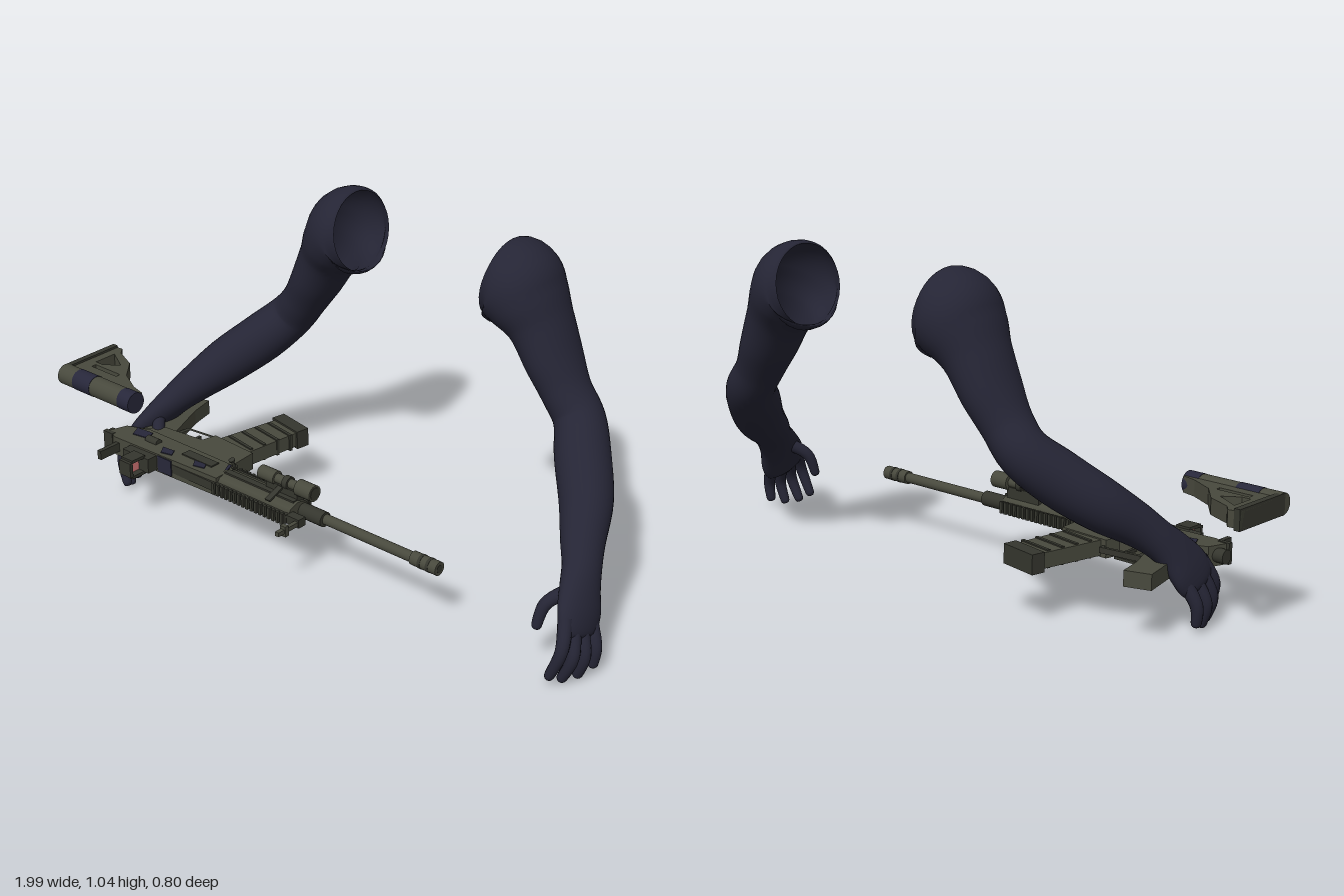
import * as THREE from 'three';

const mat = (name, color, side = THREE.FrontSide) => {
  const m = new THREE.MeshStandardMaterial({ color, side });
  m.name = name;
  return m;
};

export function createModel() {
  const root = new THREE.Group();
  root.name = 'armsAndRifle';
  const sleeve = mat('dark navy cloth', 0x252535, THREE.DoubleSide);
  const olive = mat('olive grey metal', 0x48493d);
  const dark = mat('dark olive', 0x35362e);
  const navy = mat('navy camouflage', 0x27273a);
  const pink = mat('pink lens', 0xd87878, THREE.DoubleSide);
  let parent = root;
  const add = (name, geo, m) => {
    const mesh = new THREE.Mesh(geo, m);
    mesh.name = name;
    parent.add(mesh);
    return mesh;
  };
  const group = (name, to = root) => {
    parent = new THREE.Group();
    parent.name = name;
    to.add(parent);
    return parent;
  };

  // Smooth skin over keys [x, y, z, radius sideways, radius across]
  const MIRROR = 0.13;
  function loft(keys, mirrored, steps, sides) {
    const path = new THREE.CatmullRomCurve3(keys.map(k => new THREE.Vector3(k[0], k[1], k[2])));
    const size = new THREE.CatmullRomCurve3(keys.map(k => new THREE.Vector3(k[3], k[4], 0)), false, 'catmullrom', 0.5);
    const pos = [], index = [];
    for (let i = 0; i <= steps; i++) {
      const t = i / steps, c = path.getPoint(t), r = size.getPoint(t), T = path.getTangent(t);
      const S = new THREE.Vector3(0, 0, 1).addScaledVector(T, -T.z).normalize();
      const P = new THREE.Vector3().crossVectors(T, S);
      for (let j = 0; j < sides; j++) {
        const a = j / sides * Math.PI * 2;
        const v = c.clone().addScaledVector(S, Math.cos(a) * r.x).addScaledVector(P, Math.sin(a) * r.y);
        pos.push(mirrored ? MIRROR - v.x : v.x, v.y, v.z);
        if (i === steps) continue;
        const n = (j + 1) % sides, q = [i * sides + j, i * sides + n, (i + 1) * sides + j, (i + 1) * sides + n];
        if (mirrored) index.push(q[0], q[2], q[1], q[1], q[2], q[3]);
        else index.push(q[0], q[1], q[2], q[1], q[3], q[2]);
      }
    }
    const g = new THREE.BufferGeometry();
    g.setAttribute('position', new THREE.Float32BufferAttribute(pos, 3));
    g.setIndex(index);
    g.computeVertexNormals();
    return g;
  }

  // Arms: open at the shoulder, closed at the knuckles
  const armKeys = [
    [0.345, 0.91, -0.257, 0.128, 0.125], [0.385, 0.903, -0.257, 0.145, 0.138],
    [0.43, 0.86, -0.257, 0.138, 0.115], [0.475, 0.8, -0.258, 0.114, 0.09],
    [0.53, 0.70, -0.255, 0.102, 0.077], [0.58, 0.62, -0.25, 0.084, 0.07],
    [0.635, 0.55, -0.243, 0.08, 0.074], [0.70, 0.475, -0.175, 0.085, 0.08],
    [0.78, 0.395, -0.085, 0.08, 0.076], [0.84, 0.325, 0.01, 0.067, 0.06],
    [0.875, 0.28, 0.06, 0.062, 0.05], [0.9, 0.24, 0.1, 0.07, 0.043],
    [0.928, 0.185, 0.14, 0.083, 0.036], [0.943, 0.142, 0.163, 0.073, 0.028],
    [0.947, 0.125, 0.17, 0.03, 0.012], [0.948, 0.123, 0.171, 0.001, 0.001]];
  const fingers = {
    indexFinger: [[0.925, 0.2, 0.2], [0.945, 0.12, 0.241], [0.917, 0.035, 0.254]],
    middleFinger: [[0.938, 0.17, 0.18], [0.962, 0.09, 0.21], [0.935, 0.017, 0.219]],
    ringFinger: [[0.945, 0.15, 0.15], [0.972, 0.08, 0.168], [0.955, 0.015, 0.173]],
    littleFinger: [[0.945, 0.15, 0.105], [0.975, 0.085, 0.12], [0.972, 0.03, 0.124]],
    thumb: [[0.89, 0.245, 0.125], [0.84, 0.2, 0.178], [0.828, 0.135, 0.2]]
  };
  for (const mirrored of [false, true]) {
    group(mirrored ? 'rightArm' : 'leftArm');
    add('sleeveAndPalm', loft(armKeys, mirrored, 75, 32), sleeve);
    for (const [name, [a, b, c]] of Object.entries(fingers)) {
      const tip = c.map((v, i) => v + (c[i] - b[i]) * 0.13);
      const end = c.map((v, i) => v + (c[i] - b[i]) * 0.15);
      const keys = [[...a, 0.022, 0.022], [...b, 0.019, 0.019], [...c, 0.015, 0.015],
        [...tip, 0.009, 0.009], [...end, 0.0005, 0.0005]];
      add(name, loft(keys, mirrored, 24, 14), sleeve);
    }
  }

  // Rifle lies on its side: muzzle to +x, its top to +z
  const box = (name, m, x0, x1, y0, y1, z0, z1) => {
    const mesh = add(name, new THREE.BoxGeometry(x1 - x0, y1 - y0, z1 - z0), m);
    mesh.position.set((x0 + x1) / 2, (y0 + y1) / 2, (z0 + z1) / 2);
    return mesh;
  };
  const rod = (name, m, x0, x1, y, z, r, sides = 20) => {
    const g = new THREE.CylinderGeometry(r, r, x1 - x0, sides).rotateZ(-Math.PI / 2);
    const mesh = add(name, g, m);
    mesh.position.set((x0 + x1) / 2, y, z);
    return mesh;
  };
  // Flat outline in x and z, given thickness in y
  const plate = (name, m, pts, y0, y1, holes = []) => {
    const vec = list => list.map(([x, z]) => new THREE.Vector2(x, -z));
    const shape = new THREE.Shape(vec(pts));
    holes.forEach(h => shape.holes.push(new THREE.Path(vec(h))));
    const g = new THREE.ExtrudeGeometry(shape, { depth: y1 - y0, bevelEnabled: false });
    add(name, g.rotateX(-Math.PI / 2).translate(0, y0, 0), m);
  };
  const rifle = group('rifle');
  const Y = 0.197;

  // Receiver, grip and magazine
  plate('upperReceiver', olive, [[-0.8, 0.23], [-0.72, 0.2], [-0.33, 0.2], [-0.33, 0.295], [-0.77, 0.31], [-0.82, 0.29]], 0.165, 0.228);
  plate('lowerReceiver', olive, [[-0.76, 0.21], [-0.7, 0.15], [-0.55, 0.135], [-0.54, 0.085], [-0.365, 0.095], [-0.355, 0.21]], 0.168, 0.224);
  plate('grip', olive, [[-0.76, 0.19], [-0.82, -0.06], [-0.74, -0.085], [-0.72, 0], [-0.65, 0.17]], 0.173, 0.221);
  plate('triggerGuard', dark, [[-0.68, 0.16], [-0.67, 0.08], [-0.53, 0.065], [-0.53, 0.16]], 0.188, 0.206,
    [[[-0.665, 0.15], [-0.655, 0.09], [-0.54, 0.077], [-0.54, 0.15]]]);
  box('trigger', dark, -0.61, -0.6, 0.192, 0.202, 0.09, 0.15);
  plate('magazine', olive, [[-0.525, 0.11], [-0.475, -0.13], [-0.36, -0.11], [-0.385, 0.11]], 0.172, 0.22);
  plate('magazineBase', dark, [[-0.486, -0.125], [-0.478, -0.17], [-0.347, -0.145], [-0.354, -0.1]], 0.165, 0.226);
  for (let i = 0; i < 4; i++) {
    const z = 0.06 - i * 0.05, x = -0.508 + i * 0.0104;
    plate('magazineRib', dark, [[x, z], [x + 0.002, z - 0.01], [x + 0.12, z + 0.01], [x + 0.118, z + 0.02]], 0.168, 0.224);
  }
  rod('bufferTube', dark, -0.84, -0.77, Y, 0.265, 0.022);
  box('chargingHandle', dark, -0.83, -0.79, 0.165, 0.23, 0.29, 0.305);
  box('ejectionPort', dark, -0.52, -0.39, 0.226, 0.232, 0.222, 0.255);
  rod('forwardAssist', dark, -0.68, -0.63, 0.228, 0.25, 0.014);

  // Handguard and toothed rails
  const guard = rod('handguard', olive, -0.34, -0.03, Y, 0.245, 0.05, 8);
  guard.scale.y = 0.72;
  box('topRail', dark, -0.74, -0.03, 0.182, 0.212, 0.29, 0.302);
  box('bottomRail', dark, -0.34, -0.04, 0.182, 0.212, 0.188, 0.2);
  box('sideRail', dark, -0.33, -0.04, 0.158, 0.235, 0.235, 0.257);
  for (let i = 0; i < 17; i++) {
    const x = -0.335 + i * 0.018;
    box('topRailTooth', dark, x, x + 0.01, 0.178, 0.216, 0.3, 0.311);
    box('bottomRailTooth', dark, x, x + 0.01, 0.178, 0.216, 0.18, 0.19);
  }

  // Barrel and muzzle
  rod('gasBlock', dark, -0.04, 0.06, Y, 0.225, 0.024);
  rod('barrel', olive, -0.05, 0.41, Y, 0.222, 0.0165);
  rod('muzzle', olive, 0.4, 0.497, Y, 0.222, 0.0215);
  rod('bore', dark, 0.49, 0.498, Y, 0.222, 0.012);
  for (const x of [0.43, 0.46]) rod('muzzleRing', dark, x, x + 0.01, Y, 0.222, 0.0225);

  // Iron sights and reflex sight
  box('frontSightBase', dark, -0.04, 0.02, 0.183, 0.211, 0.27, 0.3);
  box('frontSightPost', olive, 0.004, 0.018, 0.19, 0.204, 0.28, 0.385);
  box('frontSightHead', olive, 0, 0.022, 0.18, 0.214, 0.345, 0.36);
  box('rearSight', dark, -0.767, -0.752, 0.182, 0.212, 0.3, 0.39);
  box('reflexBase', dark, -0.7, -0.585, 0.172, 0.222, 0.3, 0.342);
  for (const y of [0.164, 0.219]) box('reflexSide', dark, -0.655, -0.605, y, y + 0.01, 0.335, 0.39);
  box('reflexTop', dark, -0.655, -0.605, 0.172, 0.222, 0.388, 0.4);
  box('reflexLens', pink, -0.633, -0.628, 0.174, 0.219, 0.342, 0.388);

  // Side mounted scope
  rod('scopeTube', olive, -0.19, 0.01, 0.27, 0.225, 0.015);
  rod('scopeEyepiece', olive, -0.2, -0.135, 0.27, 0.225, 0.022);
  rod('scopeObjective', olive, -0.045, 0.018, 0.27, 0.225, 0.026);
  rod('scopeGlass', dark, 0.015, 0.02, 0.27, 0.225, 0.02);
  rod('scopeTurret', dark, -0.1, -0.08, 0.27, 0.225, 0.021);
  box('scopeMount', dark, -0.17, -0.04, 0.222, 0.258, 0.212, 0.24);
  const lever = box('mountLever', dark, -0.12, -0.1, 0.244, 0.25, 0.21, 0.3);
  lever.rotation.x = 0.36;

  // Camouflage patches
  const patches = [[-0.76, -0.68, 0.22, 0.26], [-0.6, -0.54, 0.26, 0.29], [-0.46, -0.4, 0.258, 0.285], [-0.36, -0.335, 0.21, 0.25]];
  for (const [x0, x1, z0, z1] of patches)
    plate('camouflagePatch', navy, [[x0, z0], [x1 - 0.015, z0 - 0.005], [x1, z1 - 0.01], [x0 + 0.02, z1]], 0.163, 0.231);
  box('camouflageTop', navy, -0.58, -0.52, 0.17, 0.224, 0.3, 0.306);

  // Detached stock above the receiver
  group('stock', rifle);
  plate('stockFrame', olive, [[-1, 0.095], [-0.96, 0.09], [-0.94, 0.115], [-0.86, 0.15], [-0.8, 0.22], [-0.72, 0.262], [-0.67, 0.275], [-0.67, 0.31], [-1, 0.31]], 0.355, 0.405,
    [[[-0.95, 0.135], [-0.95, 0.215], [-0.92, 0.215], [-0.87, 0.18]], [[-0.935, 0.23], [-0.935, 0.247], [-0.82, 0.247], [-0.82, 0.23]]]);
  box('buttPad', dark, -1, -0.98, 0.348, 0.412, 0.092, 0.31);
  rod('stockTube', olive, -0.998, -0.67, 0.38, 0.305, 0.034, 24);
  for (const [x0, x1] of [[-0.93, -0.85], [-0.72, -0.668]]) rod('stockCamouflage', navy, x0, x1, 0.38, 0.305, 0.035, 24);

  // Loose pin and bar
  const pin = group('loosePin', rifle);
  for (const [y, h, r] of [[0, 0.03, 0.005], [-0.014, 0.005, 0.01], [0.014, 0.005, 0.01]])
    add('pinSection', new THREE.CylinderGeometry(r, r, h, 12), dark).position.y = y;
  pin.position.set(-0.265, 0.297, 0.283);
  pin.rotation.x = 0.35;
  parent = rifle;
  box('looseBar', dark, -0.555, -0.48, 0.125, 0.133, 0.2, 0.215);

  return root;
}
